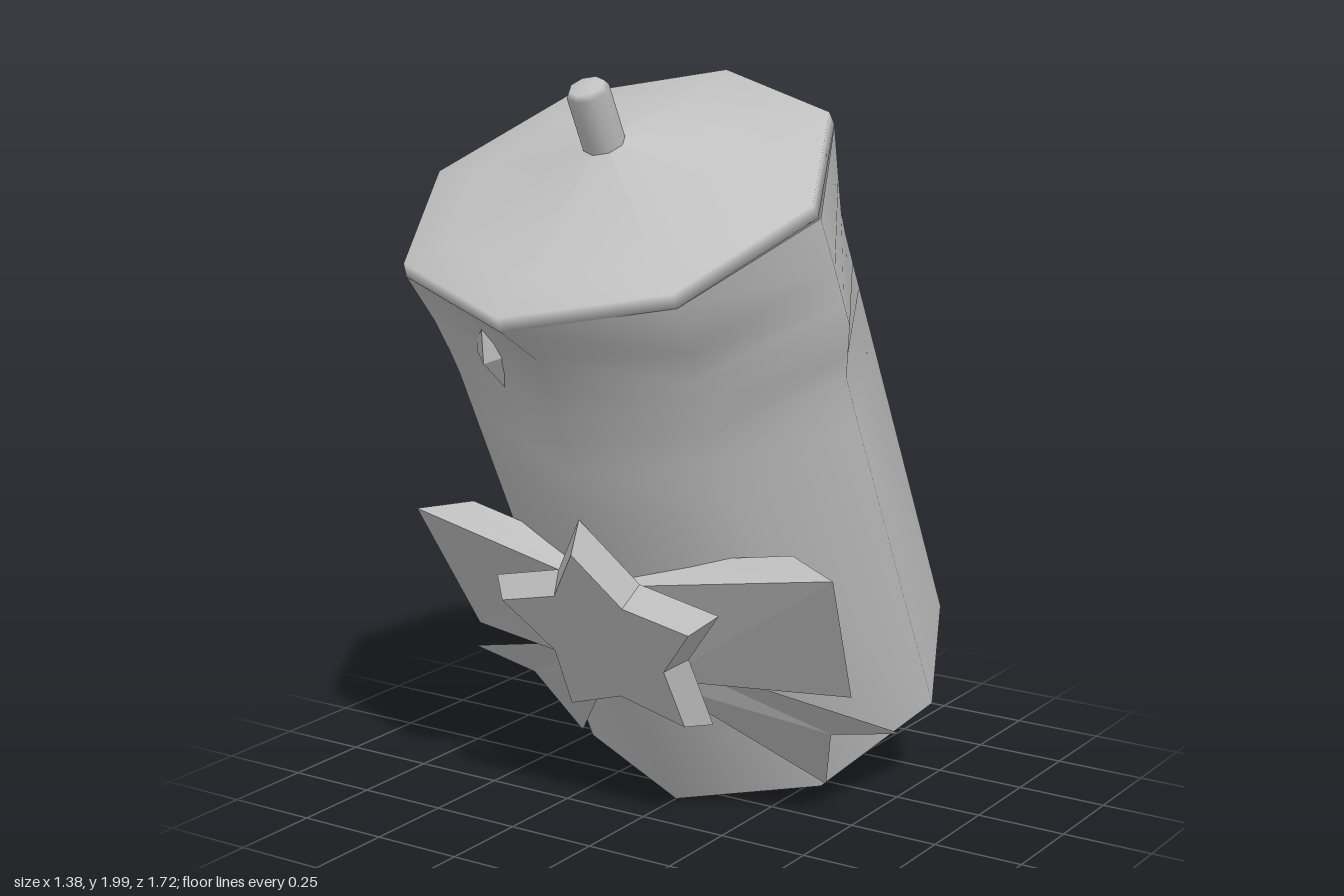
import * as THREE from 'three';

const grey = new THREE.MeshStandardMaterial({ color: 0xc0c0c0 });
grey.name = 'plain grey';
grey.side = THREE.DoubleSide;

function part(name, geometry) {
  const mesh = new THREE.Mesh(geometry, grey);
  mesh.name = name;
  return mesh;
}

function fromTriangles(points) {
  const g = new THREE.BufferGeometry();
  g.setAttribute('position', new THREE.Float32BufferAttribute(points.flat(), 3));
  g.computeVertexNormals();
  return g;
}

// Flat-faced solid between a back loop and a front loop, both capped from their centres
function solid(back, front) {
  const n = back.length;
  const centre = loop => [0, 1, 2].map(k => loop.reduce((s, p) => s + p[k], 0) / n);
  const ca = centre(back), cb = centre(front), tris = [];
  for (let i = 0; i < n; i++) {
    const j = (i + 1) % n;
    tris.push(back[i], back[j], front[j], back[i], front[j], front[i]);
    tris.push(cb, front[i], front[j], ca, back[j], back[i]);
  }
  return fromTriangles(tris);
}

// Octagonal can wall: each ring is a height and eight radii, from the front towards +x
function bodyWall() {
  const R = 0.531;
  const rings = [
    [0, R, R, R, R, R, R, R, R],
    [0.98, 0.526, R, R, R, R, R, R, R],
    [1.12, 0.507, R, 0.532, R, R, R, R, R],
    [1.2, 0.496, R, 0.556, R, 0.534, R, R, R],
    [1.29, 0.49, R, 0.583, R, 0.573, R, 0.545, R],
    [1.36, 0.486, 0.535, 0.583, 0.535, 0.574, 0.535, 0.58, 0.535],
    [1.46, 0.485, 0.545, 0.583, 0.55, 0.576, 0.55, 0.582, 0.545],
    [1.607, 0.572, 0.573, 0.58, 0.573, 0.576, 0.573, 0.58, 0.573],
  ];
  const pos = [], index = [];
  rings.forEach(([y, ...radii], row) => radii.forEach((r, i) => {
    const t = i * Math.PI / 4;
    pos.push(r * Math.sin(t), y, r * Math.cos(t));
    if (row === 0) return;
    const j = (i + 1) % 8, lo = (row - 1) * 8, hi = row * 8;
    index.push(lo + i, lo + j, hi + i, hi + j, hi + i, lo + j);
  }));
  const g = new THREE.BufferGeometry();
  g.setAttribute('position', new THREE.Float32BufferAttribute(pos, 3));
  g.setIndex(index);
  g.computeVertexNormals();
  return g;
}

function lathe(profile) {
  return new THREE.LatheGeometry(profile.map(p => new THREE.Vector2(...p)), 8);
}

function starLoop(radius, z) {
  return Array.from({ length: 10 }, (_, i) => {
    const r = i % 2 ? radius * 0.59 : radius, t = i * Math.PI / 5;
    return [-r * Math.sin(t), 0.627 + r * Math.cos(t), z];
  });
}

// Wedge-shaped bow wing, swept back around the can
function wing(side) {
  const top = [[0.08, 0.785, 0.53], [0.65, 0.834, 0.433], [0.5, 0.836, 0.37], [0.08, 0.785, 0.43]];
  const bottom = [[0.08, 0.46, 0.53], [0.595, 0.42, 0.42], [0.46, 0.42, 0.36], [0.08, 0.46, 0.43]];
  const place = loop => {
    const out = loop.map(([x, y, z]) => [side * x, y, z]);
    return side < 0 ? out.reverse() : out;
  };
  return solid(place(bottom), place(top));
}

// Swallow-tailed ribbon end, a thin sheet
function tail(side) {
  const [a, b, tip, notch, low] = [
    [0.08, 0.447, 0.53], [0.08, 0.56, 0.53], [0.69, 0.275, 0.377], [0.48, 0.242, 0.4], [0.4, 0.02, 0.381],
  ].map(([x, y, z]) => [side * x, y, z]);
  const tris = [a, notch, b, b, notch, tip, a, low, notch];
  return fromTriangles(side < 0 ? tris.reverse() : tris);
}

export function createModel() {
  const can = new THREE.Group();
  can.name = 'tiltedCan';

  // Can and lid
  can.add(part('body', bodyWall()));
  can.add(part('base', new THREE.CircleGeometry(0.531, 8).rotateX(Math.PI / 2)));
  can.add(part('lid', lathe([[0.52, 1.6], [0.573, 1.607], [0.568, 1.645], [0.44, 1.662], [0, 1.79]])));
  can.add(part('knob', lathe([[0.055, 1.75], [0.055, 1.925], [0.046, 1.94], [0, 1.942]])));

  // Small fold in the dented front
  const fold = new THREE.OctahedronGeometry(1).scale(0.055, 0.12, 0.05);
  fold.translate(-0.18, 1.42, 0.43);
  can.add(part('dentFold', fold));

  // Bow with a star in the middle
  const bow = new THREE.Group();
  bow.name = 'bow';
  bow.add(part('star', solid(starLoop(0.365, 0.53), starLoop(0.306, 0.6))));
  for (const side of [1, -1]) {
    const label = side > 0 ? 'left' : 'right';
    bow.add(part(label + 'Wing', wing(side)));
    bow.add(part(label + 'RibbonTail', tail(side)));
  }
  can.add(bow);

  // Tip the whole can forward onto its front bottom corner
  can.rotation.x = Math.atan(0.5);
  can.position.set(0, 0.2375, -0.385);

  const model = new THREE.Group();
  model.name = 'dentedCan';
  model.add(can);
  return model;
}
